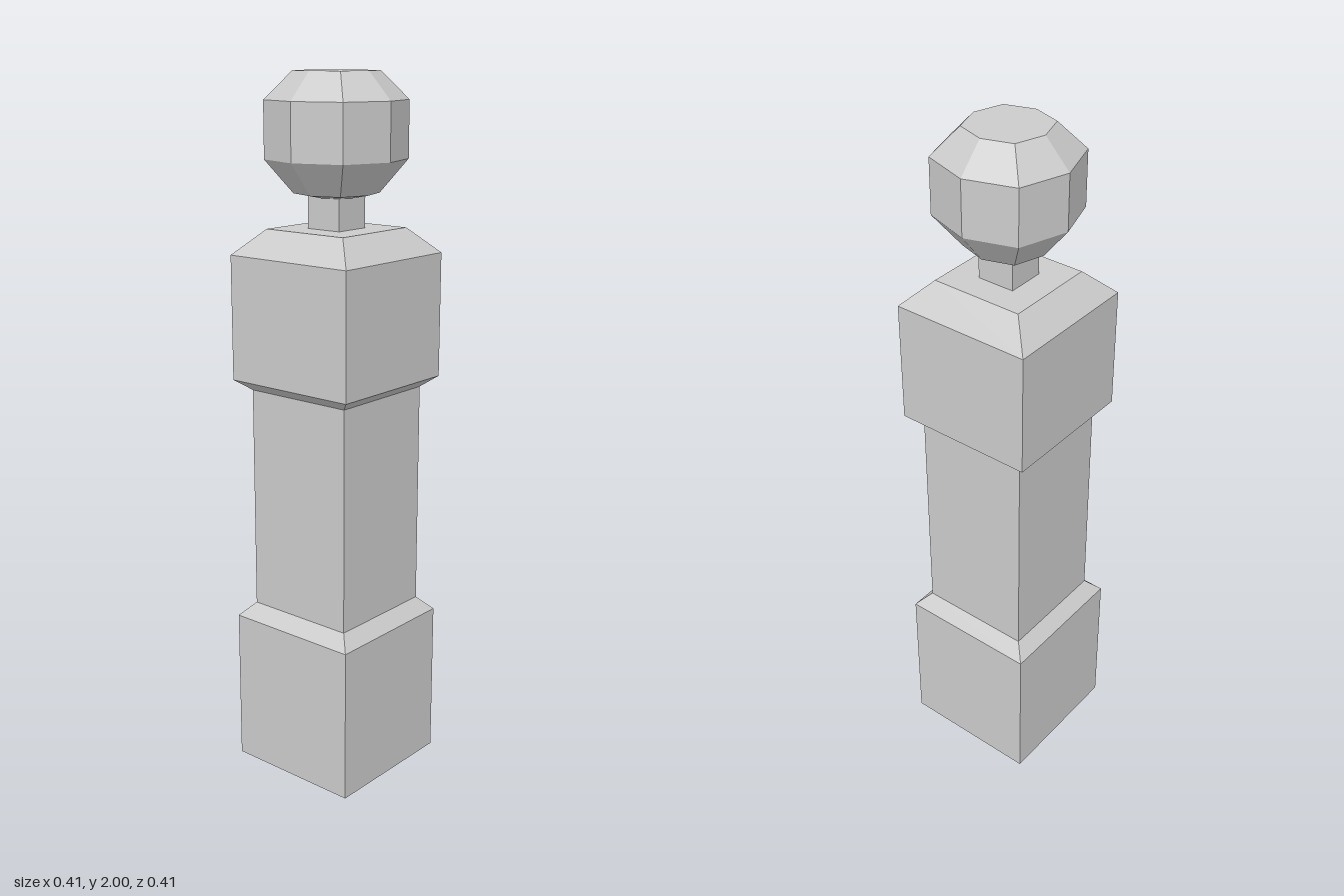
import * as THREE from 'three';

const material = new THREE.MeshStandardMaterial({ color: 0xcccccc, flatShading: true });

// Faceted turned part from [radius, height] pairs, listed bottom to top
function turned(name, profile, sides, phiStart = 0) {
  const points = profile.map(([r, y]) => new THREE.Vector2(r, y));
  const mesh = new THREE.Mesh(new THREE.LatheGeometry(points, sides, phiStart), material);
  mesh.name = name;
  return mesh;
}

// Square part from [half width, height] pairs
function square(name, profile) {
  return turned(name, profile.map(([h, y]) => [h * Math.SQRT2, y]), 4, Math.PI / 4);
}

export function createModel() {
  const group = new THREE.Group();
  group.name = 'gatePost';

  // Square post: base block, shaft and head block with bevelled shoulders
  group.add(square('base', [[0, 0], [0.205, 0], [0.205, 0.45], [0.167, 0.49]]));
  group.add(square('shaft', [[0.167, 0.49], [0.167, 1.135]]));
  group.add(square('head', [[0.167, 1.135], [0.205, 1.165], [0.205, 1.515], [0.135, 1.585], [0, 1.585]]));
  group.add(square('neck', [[0.055, 1.585], [0.055, 1.675]]));

  // Eight-sided ball finial, slightly fuller on the diagonals
  const ball = turned('ballFinial', [
    [0, 1.67], [0.06, 1.67], [0.11, 1.68], [0.183, 1.77], [0.183, 1.925], [0.11, 2], [0, 2],
  ], 8);
  const pos = ball.geometry.attributes.position;
  for (let i = 0; i < pos.count; i++) {
    const x = pos.getX(i), z = pos.getZ(i);
    if (Math.abs(x) > 0.01 && Math.abs(z) > 0.01) {
      pos.setX(i, x * 1.066);
      pos.setZ(i, z * 1.066);
    }
  }
  ball.geometry.computeVertexNormals();
  group.add(ball);

  return group;
}
